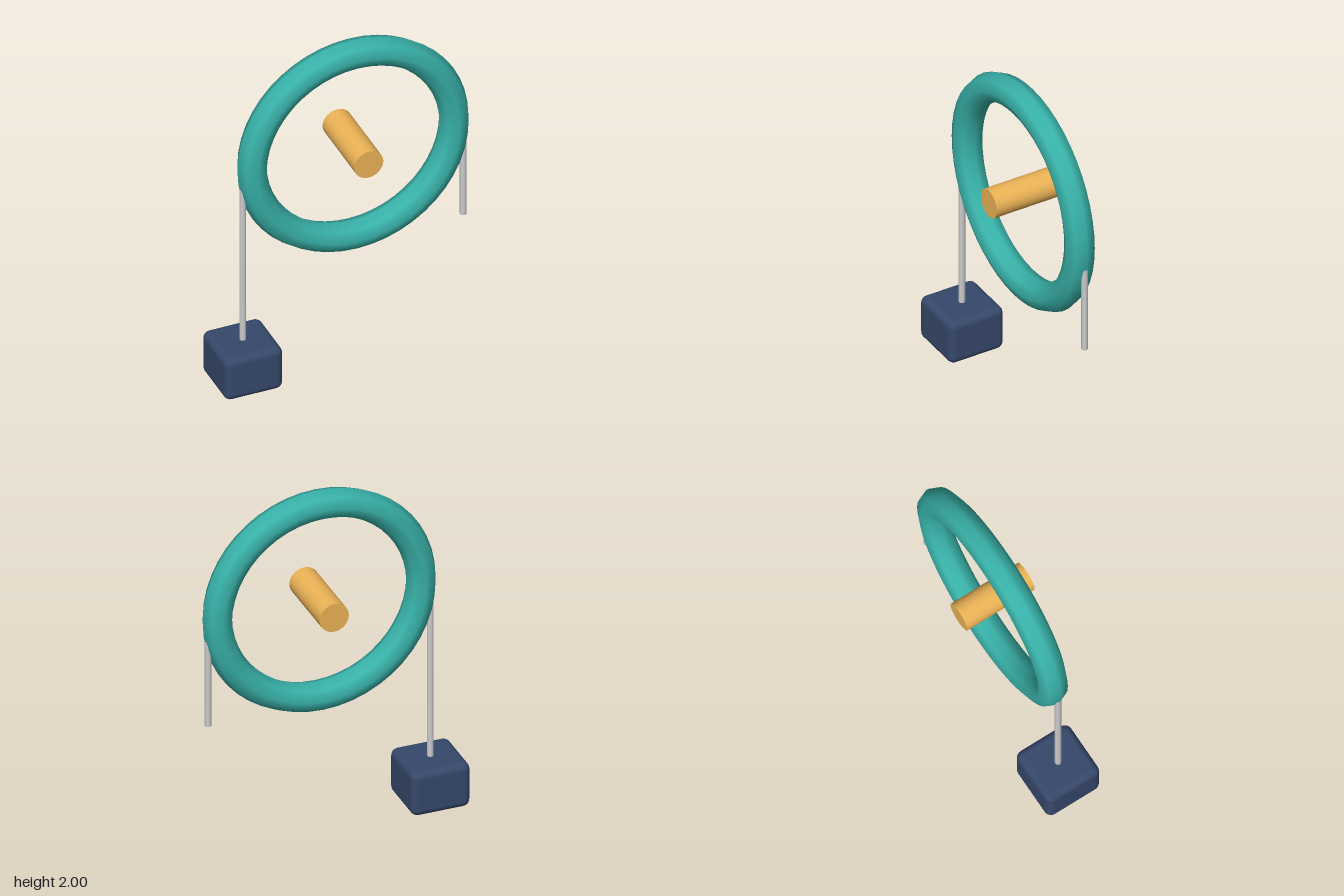
import * as THREE from 'three';
import { RoundedBoxGeometry } from 'three/addons/geometries/RoundedBoxGeometry.js';

export function createModel() {
  const model = new THREE.Group();
  const cx = 0.065, cy = 1.34;          // wheel centre
  const ringR = 0.577, tubeR = 0.083;

  const add = (name, geometry, color, x, y) => {
    const mesh = new THREE.Mesh(geometry, new THREE.MeshStandardMaterial({ color }));
    mesh.name = name;
    mesh.position.set(x, y, 0);
    model.add(mesh);
    return mesh;
  };

  // Wheel rim with an eight-sided section
  add('wheelRim', new THREE.TorusGeometry(ringR, tubeR, 8, 48), 0x38b2a9, cx, cy);

  // Axle through the wheel centre
  const axle = add('axle', new THREE.CylinderGeometry(0.083, 0.083, 0.42, 32), 0xecb356, cx, cy);
  axle.rotation.x = Math.PI / 2;

  // Ropes hanging from both sides, their tops sunk into the rim
  const rope = (name, side, bottom) => {
    const length = cy - bottom;
    add(name, new THREE.CylinderGeometry(0.018, 0.018, length, 12), 0xcccccc,
      cx + side * 0.63, bottom + length / 2);
  };
  rope('loadRope', -1, 0.24);
  rope('freeRope', 1, 0.715);

  // Hanging load
  add('load', new RoundedBoxGeometry(0.333, 0.262, 0.333, 3, 0.04), 0x36486b, cx - 0.63, 0.131);

  return model;
}
